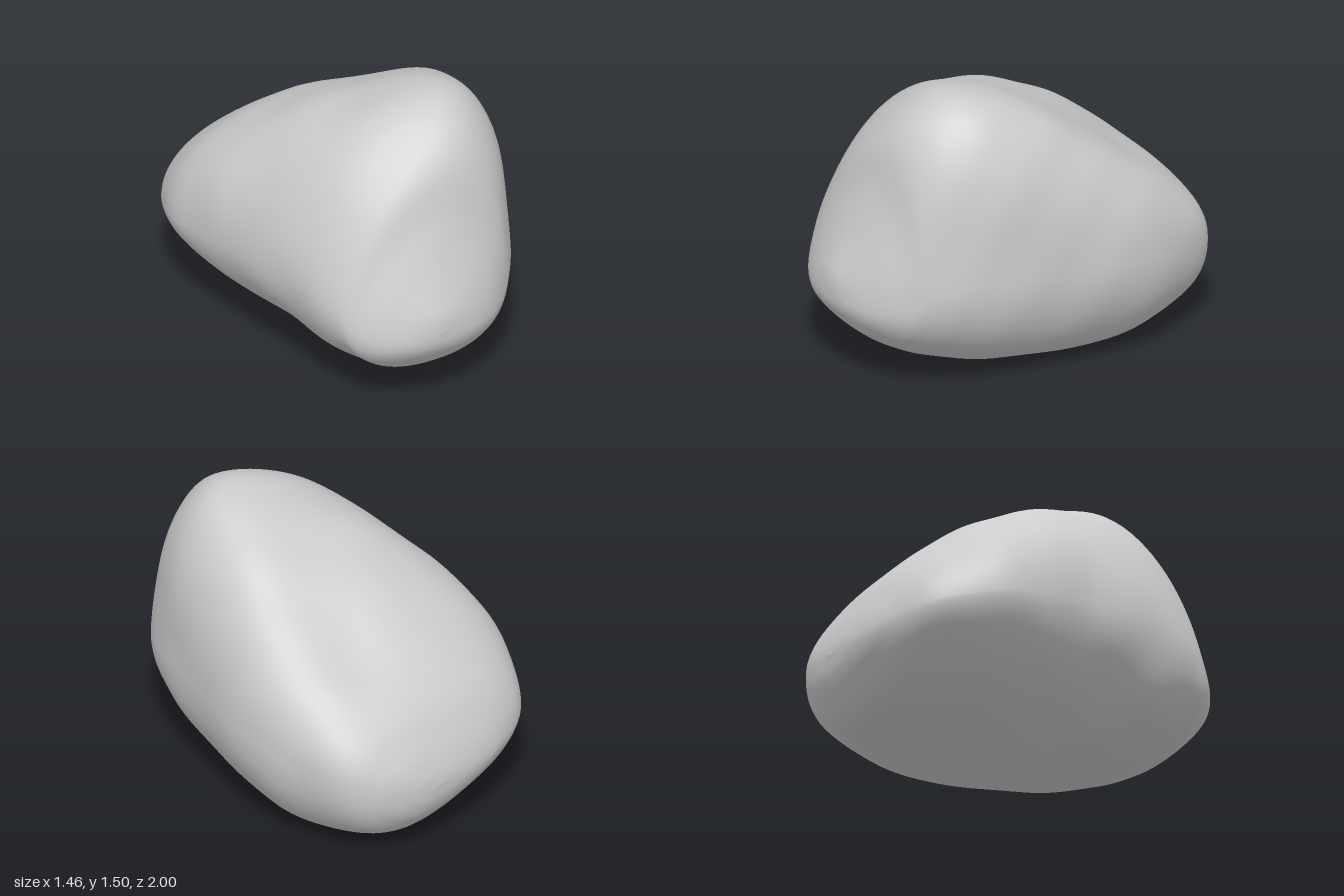
import * as THREE from 'three';
import { mergeVertices } from 'three/addons/utils/BufferGeometryUtils.js';

// Sections from front to back: z, top y, bottom y, left edge x, right edge x, crest x
const SECTIONS = [
  [1.0, 0.5, 0.5, -0.03, -0.03, -0.03],
  [0.99, 0.58, 0.42, -0.13, 0.07, -0.03],
  [0.96, 0.66, 0.36, -0.24, 0.18, -0.03],
  [0.9, 0.8, 0.29, -0.35, 0.3, 0],
  [0.82, 1.01, 0.22, -0.44, 0.4, 0.06],
  [0.74, 1.28, 0.175, -0.49, 0.47, 0.14],
  [0.6, 1.44, 0.12, -0.545, 0.555, 0.2],
  [0.4, 1.5, 0.07, -0.595, 0.63, 0.21],
  [0.1, 1.41, 0.025, -0.655, 0.68, 0.18],
  [-0.2, 1.25, 0.004, -0.72, 0.72, 0.03],
  [-0.5, 1.06, 0.02, -0.73, 0.69, -0.07],
  [-0.8, 0.8, 0.09, -0.59, 0.57, -0.06],
  [-0.93, 0.61, 0.2, -0.37, 0.42, 0.03],
  [-0.985, 0.48, 0.3, -0.15, 0.25, 0.07],
  [-1.0, 0.4, 0.4, 0.08, 0.08, 0.08],
];

// Smooth curve through three columns of the section list
const channel = (i) => new THREE.CatmullRomCurve3(
  SECTIONS.map((s) => new THREE.Vector3(s[i], s[i + 1], s[i + 2])), false, 'catmullrom', 0.5);

// Soft bump with a given centre and radius
const bump = (x, z, cx, cz, r) => Math.exp(-((x - cx) ** 2 + (z - cz) ** 2) / (r * r));

// Gentle surface waviness
const ripple = (x, y, z) =>
  0.006 * Math.sin(7 * x + 5 * z + 1) * Math.sin(8 * y - 3 * z) +
  0.004 * Math.sin(13 * z + 4 * y) * Math.sin(11 * x - 6 * y + 2);

// How full each quarter of a section is: below 1 bulges, above 1 is chamfered
function fullness(isTop, isRight, z) {
  const front = THREE.MathUtils.smoothstep(z, 0, 0.85);
  if (isTop) return isRight ? 0.78 + 0.17 * front : 0.95 + 0.27 * front;
  return isRight ? 0.98 : 1.06 - 0.18 * z;
}

export function createModel() {
  const geo = new THREE.SphereGeometry(1, 128, 112);
  geo.deleteAttribute('uv');
  geo.deleteAttribute('normal');
  const pos = geo.attributes.position;
  const heights = channel(0), widths = channel(3);

  for (let i = 0; i < pos.count; i++) {
    // The sphere's axis becomes the stone's front-to-back axis
    const t = Math.acos(THREE.MathUtils.clamp(pos.getY(i), -1, 1)) / Math.PI;
    const a = Math.atan2(pos.getX(i), pos.getZ(i));
    const c = Math.cos(a), s = Math.sin(a);
    const { x: z, y: top, z: bottom } = heights.getPoint(t);
    const { x: left, y: right, z: crest } = widths.getPoint(t);

    // The keel bows toward +x; the widest line drops lower in the section near the front
    const keel = THREE.MathUtils.clamp(0.25 - 0.2 * (z + 0.2) ** 2, left, right);
    const sideY = bottom + (top - bottom) * (0.45 - 0.12 * z);

    // Each quarter of a section is a rounded arc between two extreme points
    const e = fullness(s > 0, c > 0, z);
    const midX = s > 0 ? crest : keel;
    let x = midX + ((c > 0 ? right : left) - midX) * Math.abs(c) ** e;
    let y = sideY + ((s > 0 ? top : bottom) - sideY) * Math.abs(s) ** e;

    // Waviness, fading at both tips, and a shallow hollow on the back slope
    const w = Math.sin(t * Math.PI) * ripple(x, y, z);
    x += c * w;
    y += s * w;
    if (s > 0) y -= s * (0.05 * bump(x, z, 0.25, -0.5, 0.2) - 0.015 * bump(x, z, 0, -0.4, 0.15));
    pos.setXYZ(i, x, Math.max(0, y), z);
  }

  const merged = mergeVertices(geo, 1e-5);
  merged.computeVertexNormals();

  const stone = new THREE.Mesh(merged,
    new THREE.MeshStandardMaterial({ color: 0xcccccc }));
  stone.name = 'stone';
  const group = new THREE.Group();
  group.name = 'boulder';
  group.add(stone);
  return group;
}
